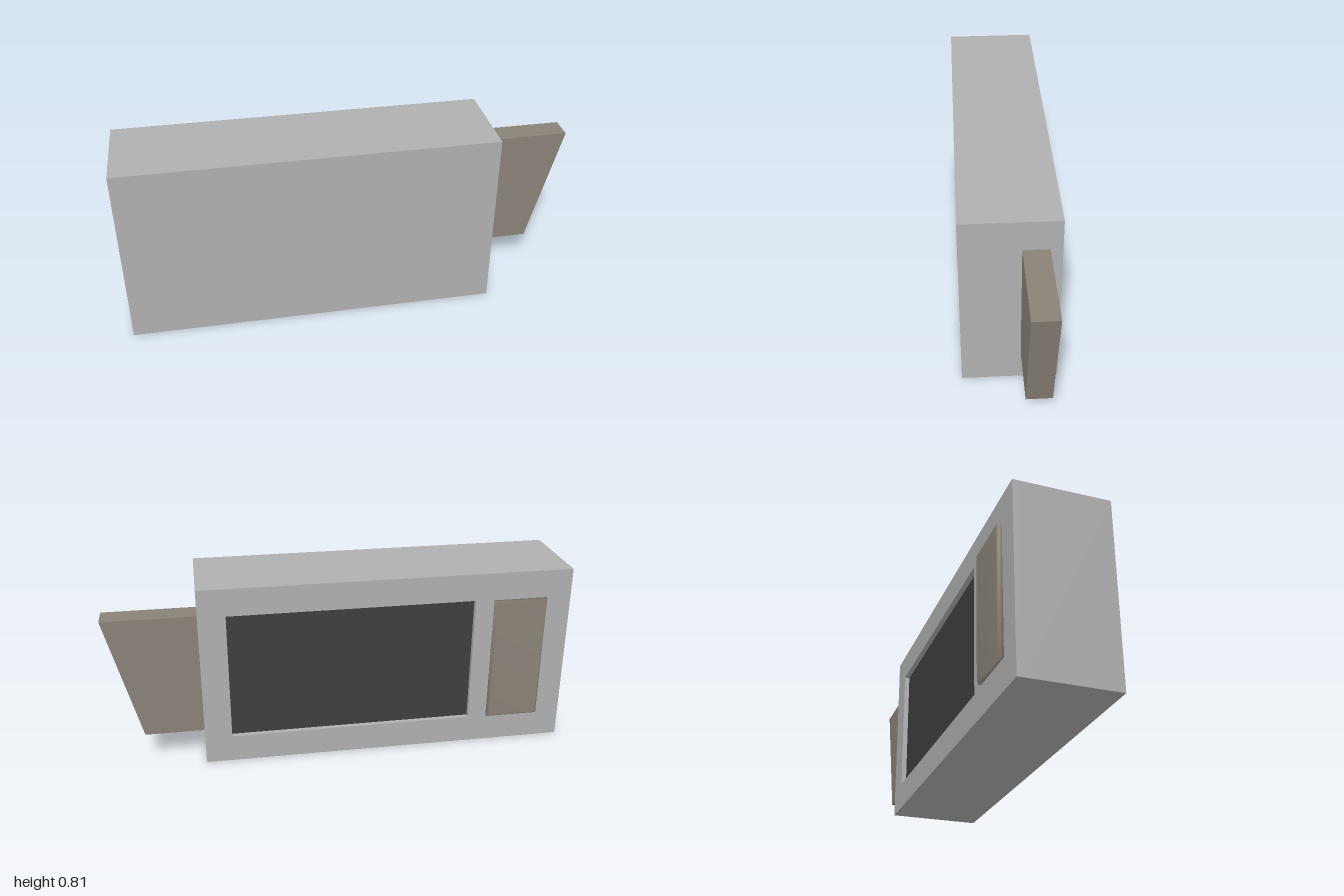
import * as THREE from 'three';
import { mergeVertices } from 'three/addons/utils/BufferGeometryUtils.js';

const material = (name, color) => {
  const m = new THREE.MeshStandardMaterial({ color });
  m.name = name;
  return m;
};

// closed outline from corner points
const outline = (points, Type = THREE.Shape) => new Type(points.map(([x, y]) => new THREE.Vector2(x, y)));
const rect = (x0, x1, y0, y1) => [[x0, y0], [x1, y0], [x1, y1], [x0, y1]];

export function createModel() {
  const group = new THREE.Group();
  const grey = material('casing grey', 0xb0b0b0);
  const taupe = material('warm grey', 0x8a8278);
  const dark = material('screen dark grey', 0x3e3e3e);

  const add = (name, geometry, mat, x = 0, y = 0, z = 0) => {
    const mesh = new THREE.Mesh(geometry, mat);
    mesh.name = name;
    mesh.position.set(x, y, z);
    group.add(mesh);
    return mesh;
  };

  const left = 0.605, right = -1, height = 0.805;
  const back = -0.19, front = 0.212, recess = 0.026;
  const window_ = rect(-0.575, 0.488, 0.12, 0.685);

  // solid casing in front of the recess
  const depth = front - back - recess;
  add('casing', new THREE.BoxGeometry(left - right, height, depth), grey,
    (left + right) / 2, height / 2, front - depth / 2);

  // rear frame around the screen opening
  const frame = outline(rect(right, left, 0, height));
  frame.holes.push(outline([...window_].reverse(), THREE.Path));
  add('rearFrame', new THREE.ExtrudeGeometry(frame, { depth: recess, bevelEnabled: false }), grey, 0, 0, back);

  // recessed screen
  add('screen', new THREE.ExtrudeGeometry(outline(window_), { depth: 0.004, bevelEnabled: false }),
    dark, 0, 0, back + recess - 0.004);

  // control panel with softly shaded bevelled rim
  const bevel = 0.01;
  let panel = new THREE.ExtrudeGeometry(
    outline(rect(-0.89 + bevel, -0.657 - bevel, 0.123 + bevel, 0.683 - bevel)),
    { depth: 0.01, bevelThickness: bevel, bevelSize: bevel, bevelSegments: 1 });
  panel.deleteAttribute('normal');
  panel.deleteAttribute('uv');
  panel = mergeVertices(panel, 1e-4);
  panel.computeVertexNormals();
  add('controlPanel', panel, taupe, 0, 0, -0.212 + bevel);

  // door-like side flap with slanted outer edge
  const flap = outline([[left, 0.135], [0.86, 0.135], [1, 0.674], [left, 0.674]]);
  add('sideFlap', new THREE.ExtrudeGeometry(flap, { depth: 0.107, bevelEnabled: false }), taupe, 0, 0, -0.141);

  return group;
}
